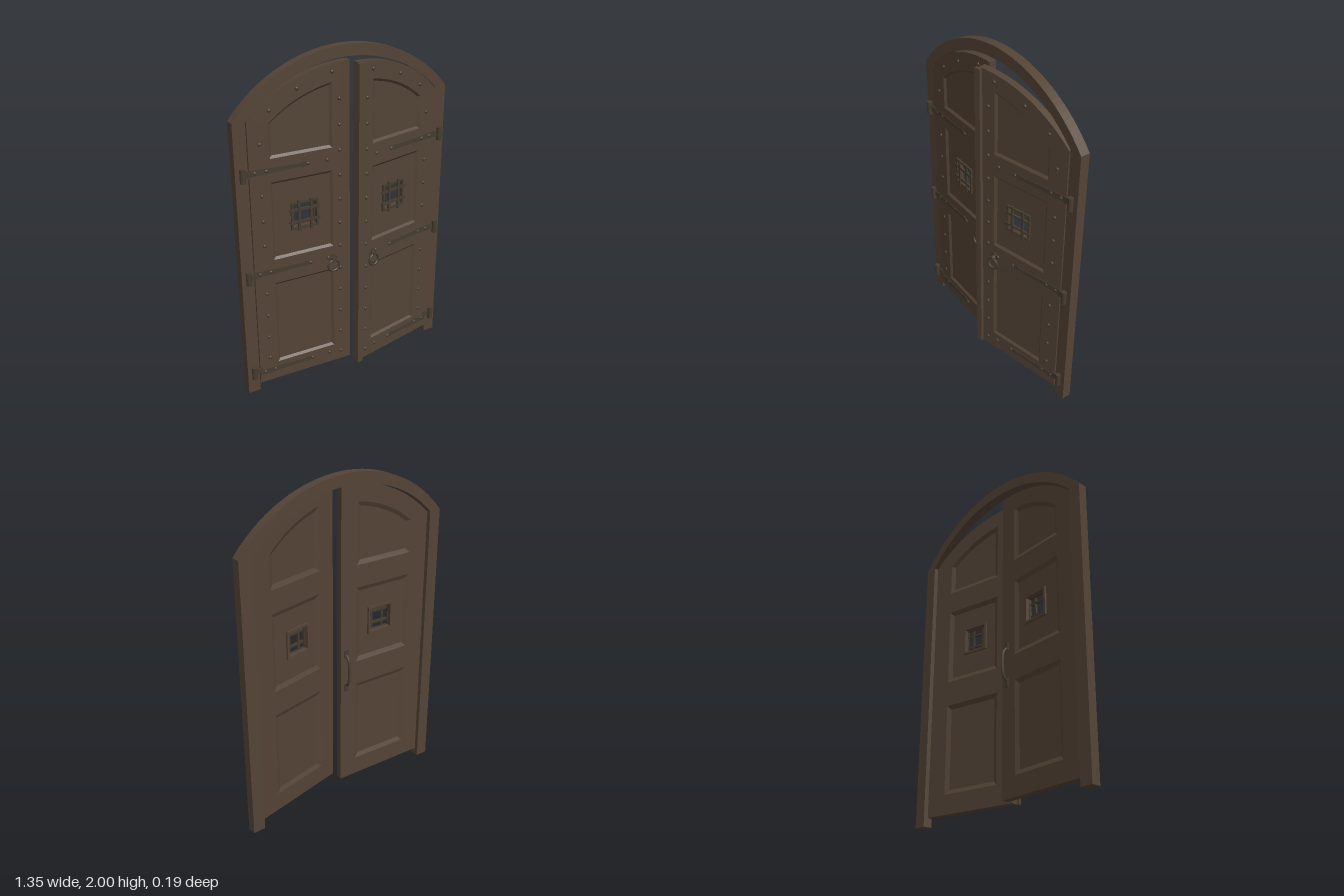
import * as THREE from 'three';

const wood = new THREE.MeshStandardMaterial({ color: 0x534335 });
wood.name = 'dark wood';
const iron = new THREE.MeshStandardMaterial({ color: 0x453c2f });
iron.name = 'aged iron';

const T = 0.042;    // door thickness
const W = 0.597;    // width of one leaf
const PANEL_FRONT = -0.012, PANEL_BACK = -0.03;
const arc = (r, cy = 1.1) => (x) => cy + Math.sqrt(r * r - x * x);

function add(parent, name, geo, mat, x = 0, y = 0, z = 0) {
  const m = new THREE.Mesh(geo, mat);
  m.name = name;
  m.position.set(x, y, z);
  parent.add(m);
  return m;
}
const box = (w, h, d) => new THREE.BoxGeometry(w, h, d);

// Counter-clockwise outline with a straight bottom and a top that follows a rule
function outline(s, x0, x1, y0, top, inset = 0, n = 16) {
  const a = x0 + inset, b = x1 - inset;
  const pts = [[a, y0 + inset], [b, y0 + inset]];
  for (let i = 0; i <= n; i++) {
    const x = b + (a - b) * i / n;
    pts.push([x, top(x) - inset]);
  }
  const v = pts.map(([x, y]) => new THREE.Vector2(s * x, y));
  return s < 0 ? v.reverse() : v;
}

function extrude(pts, holes, z0, z1) {
  const shape = new THREE.Shape(pts);
  holes.forEach((h) => shape.holes.push(new THREE.Path(h)));
  const g = new THREE.ExtrudeGeometry(shape, { depth: z1 - z0, bevelEnabled: false });
  return g.translate(0, 0, z0);
}

// Sloped moulding between an opening and a smaller outline
function moulding(a, za, b, zb, flip) {
  const pos = [];
  for (let i = 0; i < a.length; i++) {
    const j = (i + 1) % a.length;
    const q = [[a[i], za], [a[j], za], [b[j], zb], [b[i], zb]];
    const order = flip ? [0, 2, 1, 0, 3, 2] : [0, 1, 2, 0, 2, 3];
    order.forEach((k) => pos.push(q[k][0].x, q[k][0].y, q[k][1]));
  }
  const g = new THREE.BufferGeometry();
  g.setAttribute('position', new THREE.Float32BufferAttribute(pos, 3));
  g.computeVertexNormals();
  return g;
}

function addWindow(door, s) {
  const cx = s * 0.28, cy = 1.09;
  const grille = new THREE.Group();
  grille.name = 'windowGrille';
  grille.position.set(cx, cy, 0);
  door.add(grille);
  for (const k of [-1, 1]) {
    // iron surround, crossing bars, wooden trim behind
    add(grille, 'grilleFrame', box(0.012, 0.165, 0.014), iron, k * 0.077, 0, -0.007);
    add(grille, 'grilleFrame', box(0.165, 0.012, 0.014), iron, 0, k * 0.077, -0.007);
    add(grille, 'grilleBar', box(0.014, 0.185, 0.012), iron, k * 0.037, 0, 0);
    add(grille, 'grilleBar', box(0.185, 0.014, 0.012), iron, 0, k * 0.037, -0.002);
    add(grille, 'windowTrim', box(0.014, 0.172, 0.012), wood, k * 0.079, 0, -0.036);
    add(grille, 'windowTrim', box(0.172, 0.014, 0.012), wood, 0, k * 0.079, -0.036);
  }
}

function addRing(door, s) {
  const ring = new THREE.Group();
  ring.name = 'ringHandle';
  ring.position.set(s * 0.113, 0.73, 0);
  door.add(ring);
  const plate = add(ring, 'ringPlate', box(0.045, 0.045, 0.006), iron, 0, 0.04, 0.002);
  plate.rotation.z = Math.PI / 4;
  const knob = add(ring, 'ringKnob', new THREE.CylinderGeometry(0.011, 0.013, 0.026, 12), iron, 0, 0.04, 0.013);
  knob.rotation.x = Math.PI / 2;
  add(ring, 'ring', new THREE.TorusGeometry(0.034, 0.007, 8, 28), iron, 0, 0, 0.016);
}

const studGeo = new THREE.SphereGeometry(0.011, 10, 5, 0, Math.PI * 2, 0, Math.PI / 2)
  .rotateX(Math.PI / 2).scale(1, 1, 0.8);

function addStuds(door, s) {
  const spots = [[0.47, 1.72], [0.31, 1.815], [0.105, 1.877]];
  for (let i = 0; i < 12; i++) spots.push([0.063, 0.11 + 0.147 * i]);
  for (const y of [0.21, 0.355, 0.5, 0.645, 0.95, 1.1, 1.25, 1.545]) spots.push([0.53, y]);
  for (const y of [0.12, 0.78, 1.39]) for (const x of [0.565, 0.5, 0.255, 0.14]) spots.push([x, y]);
  for (const [x, y] of spots) add(door, 'stud', studGeo, iron, s * x, y, 0);
}

function addStraps(door, s) {
  // tapered strap ending in a spear tip
  const pts = [[0.597, -0.019], [0.597, 0.019], [0.31, 0.01], [0.285, 0.018], [0.235, 0], [0.285, -0.018], [0.31, -0.01]]
    .map(([x, y]) => new THREE.Vector2(s * x, y));
  for (const y of [0.12, 0.78, 1.39]) add(door, 'hingeStrap', extrude(pts, [], -0.002, 0.003), iron, 0, y, 0);
}

function buildDoor(s, angle) {
  const pivot = new THREE.Group();
  pivot.name = s > 0 ? 'leftDoor' : 'rightDoor';
  pivot.position.set(s * W, 0, -0.04);
  pivot.rotation.y = angle;
  const door = new THREE.Group();
  door.name = 'doorLeaf';
  door.position.x = -s * W;
  pivot.add(door);

  const panels = [
    [0.165, () => 0.7],
    [0.85, () => 1.32],
    [1.455, arc(0.728)],
  ];
  const make = (p, inset) => outline(s, 0.107, 0.478, p[0], p[1], inset);
  add(door, 'doorFrame', extrude(outline(s, 0, W, 0.05, arc(0.828), 0, 32),
    panels.map((p) => make(p, 0)), -T, 0), wood);

  panels.forEach((p, i) => {
    const hole = i === 1 ? [outline(s, 0.207, 0.353, 1.017, () => 1.163, 0, 1)] : [];
    add(door, 'panel', extrude(make(p, 0), hole, PANEL_BACK, PANEL_FRONT), wood);
    add(door, 'frontMoulding', moulding(make(p, 0), 0, make(p, 0.014), PANEL_FRONT + 0.0005, false), wood);
    add(door, 'backMoulding', moulding(make(p, 0), -T, make(p, 0.026), PANEL_BACK - 0.0005, true), wood);
  });

  addWindow(door, s);
  addRing(door, s);
  addStuds(door, s);
  addStraps(door, s);
  return { pivot, door };
}

export function createModel() {
  const model = new THREE.Group();
  model.name = 'archedDoubleDoor';

  // Arched surround: legs and arch in one profile
  const outer = arc(0.872, 1.128), inner = arc(0.833, 1.102), N = 40;
  const pts = [[0.6, 0], [0.675, 0]];
  for (let i = 0; i <= N; i++) {
    const x = 0.675 - 1.35 * i / N;
    pts.push([x, outer(x)]);
  }
  pts.push([-0.675, 0], [-0.6, 0]);
  for (let i = 0; i <= N; i++) {
    const x = -0.6 + 1.2 * i / N;
    pts.push([x, inner(x)]);
  }
  add(model, 'archFrame', extrude(pts.map((p) => new THREE.Vector2(...p)), [], -0.1, -0.045), wood);

  // Leaves, one nearly closed and one ajar
  const left = buildDoor(1, 0.184);
  const right = buildDoor(-1, -0.06);
  model.add(left.pivot, right.pivot);

  // Cover strip over the meeting edge
  add(left.door, 'coverStrip', box(0.036, 1.876, 0.02), wood, 0.004, 0.988, 0.01);

  // Pull handle on the back of the nearly closed leaf
  const pull = new THREE.CatmullRomCurve3([[0.71, 0], [0.735, -0.022], [0.81, -0.03], [0.885, -0.022], [0.91, 0]]
    .map(([y, z]) => new THREE.Vector3(-0.04, y, z - T)));
  add(right.door, 'pullHandle', new THREE.TubeGeometry(pull, 20, 0.008, 8), iron);
  for (const y of [0.7, 0.92]) add(right.door, 'pullPlate', box(0.026, 0.05, 0.006), iron, -0.04, y, -T - 0.002);

  // Hinge knuckles and their arms
  for (const s of [-1, 1]) for (const y of [0.138, 0.775, 1.39]) {
    add(model, 'hingeKnuckle', new THREE.CylinderGeometry(0.016, 0.016, 0.08, 12), iron, s * 0.637, y, -0.033);
    add(model, 'hingeArm', box(0.05, 0.036, 0.007), iron, s * 0.608, y, -0.038);
  }
  return model;
}
